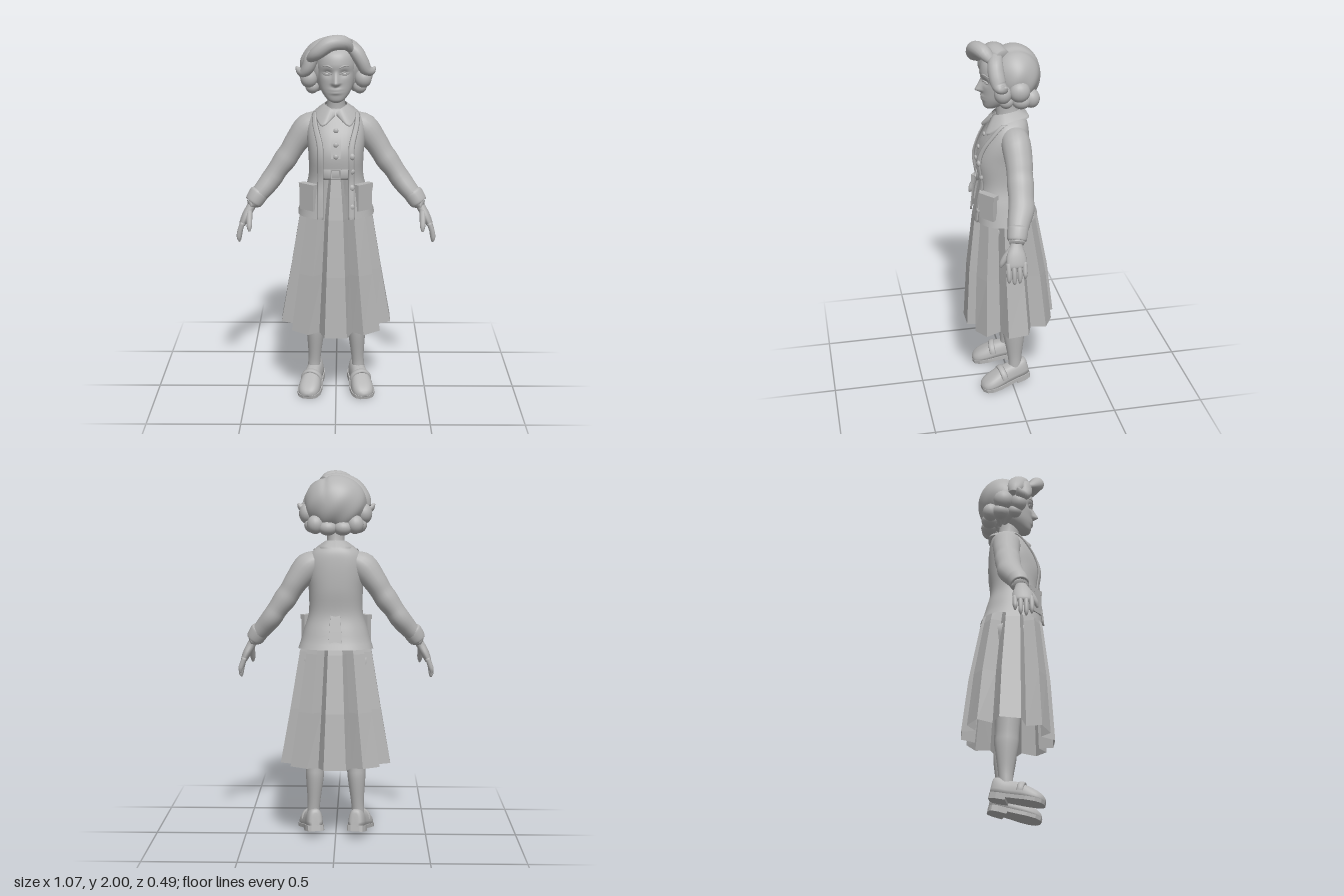
import * as THREE from 'three';

const clay = new THREE.MeshStandardMaterial({ color: 0xb4b4b4, side: THREE.DoubleSide });
clay.name = 'clay grey';
const V = (x, y, z) => new THREE.Vector3(x, y, z);
const bell = (d, w) => Math.exp(-(d * d) / (w * w));

// smooth interpolation through the rows of a small table
function sample(rows, t) {
  const f = t * (rows.length - 1), i = Math.min(Math.floor(f), rows.length - 2), k = f - i;
  const at = j => rows[Math.max(0, Math.min(rows.length - 1, j))];
  return rows[0].map((_, c) => {
    const [a, b, d, e] = [at(i - 1)[c], at(i)[c], at(i + 1)[c], at(i + 2)[c]];
    return b + 0.5 * k * (d - a + k * (2 * a - 5 * b + 4 * d - e + k * (3 * (b - d) + e - a)));
  });
}
const spread = (rows, n) => Array.from({ length: n + 1 }, (_, i) => sample(rows, i / n));

// skin over a list of rings
function loft(rings, closed = true, caps = false) {
  const n = rings[0].length, pos = [], idx = [];
  rings.forEach(r => r.forEach(p => pos.push(p.x, p.y, p.z)));
  for (let i = 0; i < rings.length - 1; i++)
    for (let j = 0; j < (closed ? n : n - 1); j++) {
      const a = i * n + j, b = i * n + (j + 1) % n;
      idx.push(a, b, b + n, a, b + n, a + n);
    }
  if (caps) [0, rings.length - 1].forEach(i => {
    const c = rings[i].reduce((s, p) => s.add(p), V(0, 0, 0)).divideScalar(n), m = pos.length / 3;
    pos.push(c.x, c.y, c.z);
    for (let j = 0; j < n; j++) {
      const a = i * n + j, b = i * n + (j + 1) % n;
      i ? idx.push(a, b, m) : idx.push(b, a, m);
    }
  });
  const g = new THREE.BufferGeometry();
  g.setAttribute('position', new THREE.Float32BufferAttribute(pos, 3));
  g.setIndex(idx);
  g.computeVertexNormals();
  return g;
}

// rounded horizontal section of the body: [y, half width, front z, back z]
function section([y, rx, zf, zb], a0, a1, n, e = 0.8, grow = 0) {
  const pw = v => Math.sign(v) * Math.abs(v) ** e;
  return Array.from({ length: n }, (_, j) => {
    const a = a0 + (a1 - a0) * j / (a1 - a0 > 6.28 ? n : n - 1);
    return V((rx + grow) * pw(Math.sin(a)), y, (zf + zb) / 2 + ((zf - zb) / 2 + grow) * pw(Math.cos(a)));
  });
}

// tapered tube through rows of [x, y, z, radius across, radius in depth]
function limb(rows, n = 20, sides = 16) {
  const pts = spread(rows, n);
  return loft(pts.map((p, i) => {
    const q = pts[Math.max(0, i - 1)], r = pts[Math.min(n, i + 1)];
    const t = V(r[0] - q[0], r[1] - q[1], r[2] - q[2]).normalize();
    const u = V(0, 0, 1).cross(t).normalize(), w = u.clone().cross(t);
    return Array.from({ length: sides }, (_, j) => {
      const a = j / sides * Math.PI * 2;
      return V(p[0], p[1], p[2]).addScaledVector(u, Math.cos(a) * p[3]).addScaledVector(w, -Math.sin(a) * p[4]);
    });
  }), true, true);
}
function blob(rx, ry, rz) { return new THREE.SphereGeometry(1, 20, 14).scale(rx, ry, rz); }
function bend(g, rule) {
  const p = g.attributes.position, v = V(0, 0, 0);
  for (let i = 0; i < p.count; i++) { rule(v.fromBufferAttribute(p, i)); p.setXYZ(i, v.x, v.y, v.z); }
  g.computeVertexNormals();
  return g;
}

export function createModel() {
  const model = new THREE.Group();
  const add = (name, geo, x = 0, y = 0, z = 0, parent = model) => {
    const m = new THREE.Mesh(geo, clay);
    m.name = name; m.position.set(x, y, z); parent.add(m);
    return m;
  };
  const TAU = Math.PI * 2 + 1e-6;

  // box-pleated skirt, faceted
  const quarter = [[0.06, 0.245], [0.09, 0.17], [0.15, 0.215], [0.24, 0.165], [0.21, 0.085], [0.3, 0.055]];
  const half = [...quarter, ...quarter.slice().reverse().map(([x, z]) => [x, -z])];
  const hem = [...half, ...half.slice().reverse().map(([x, z]) => [-x, z])];
  const skirt = [[0.4, 1, 1, 0], [0.72, 0.82, 0.89, 0.008], [1.03, 0.65, 0.7, 0.02], [1.15, 0.53, 0.59, 0.025], [1.27, 0.38, 0.48, 0.03]];
  const skirtGeo = loft(skirt.map(([y, sx, sz, dz], i) =>
    hem.map(([x, z]) => V(x * sx, y + (i ? 0 : 0.05 * Math.abs(x) - 0.08 * z), z * sz + dz)))).toNonIndexed();
  skirtGeo.computeVertexNormals();
  add('skirt', skirtGeo);

  // dress bodice under the open cardigan
  const body = [[1.035, 0.205, 0.192, -0.15], [1.14, 0.176, 0.182, -0.122], [1.24, 0.147, 0.168, -0.097], [1.36, 0.147, 0.182, -0.107],
    [1.45, 0.155, 0.157, -0.108], [1.52, 0.152, 0.12, -0.104], [1.57, 0.128, 0.092, -0.096], [1.605, 0.085, 0.075, -0.08]];
  add('bodice', loft(spread(body.slice(2), 20).map(r => section(r, 0, TAU, 40, 0.8, -0.014)), true, true));
  add('belt', loft([1.25, 1.253, 1.297, 1.3].map((y, i) =>
    section([y, 0.135, 0.17, -0.09], 0, TAU, 40, 0.8, i % 3 ? 0 : -0.012))));
  const buckle = new THREE.TorusGeometry(0.034, 0.006, 6, 4).rotateZ(Math.PI / 4);
  add('beltBuckle', buckle, 0, 1.275, 0.172);
  add('buttonPlacket', loft(spread(body.slice(3), 16).slice(0, 13).map(r => section(r, -0.12, 0.12, 6, 0.8, -0.009)), false));
  [[1.5, 0.128], [1.43, 0.159], [1.37, 0.174]].forEach(([y, z]) => add('dressButton', blob(0.013, 0.013, 0.008), 0, y, z));

  // cardigan, open along the front
  const openAt = (y, rx) => Math.asin(Math.min(0.95, (0.065 + 0.035 * THREE.MathUtils.smoothstep(y, 1.4, 1.57)) / rx) ** 1.25);
  const levels = spread(body, 32);
  const jacket = loft(levels.map(r => {
    const a = openAt(r[0], r[1]);
    return section(r, a, Math.PI * 2 - a, 49);
  }), false);
  add('cardigan', bend(jacket, v => { if (v.y < 1.1) v.y += (1.1 - v.y) / 0.065 * 0.02 * THREE.MathUtils.smoothstep(-v.z, -0.1, 0.1); }));
  [1, -1].forEach(s => {
    const side = new THREE.Group();
    side.name = s > 0 ? 'leftSide' : 'rightSide';
    model.add(side);
    const put = (name, geo, x, y, z) => add(name, geo.scale(s, 1, 1), (x || 0) * s, y, z, side);

    // cardigan front band and patch pocket
    put('frontBand', loft(levels.slice(0, 30).map(r => {
      const a = openAt(r[0], r[1]), b = a + 0.033 / r[1];
      return [...section(r, a, b, 5, 0.8, 0.009), section(r, b, b, 2)[0], section(r, a, a, 2)[0]];
    }), true, true));
    put('pocket', new THREE.BoxGeometry(0.095, 0.13, 0.03).rotateY(0.7), 0.147, 1.14, 0.137);
    put('pocketHem', new THREE.BoxGeometry(0.103, 0.025, 0.037).rotateY(0.7), 0.146, 1.205, 0.134);

    // sleeve, cuff and hand
    put('sleeve', limb([[0.08, 1.535, -0.01, 0.045, 0.06], [0.145, 1.495, -0.012, 0.075, 0.076], [0.21, 1.415, -0.015, 0.065, 0.072],
      [0.245, 1.36, -0.012, 0.06, 0.068], [0.275, 1.315, -0.01, 0.062, 0.07], [0.315, 1.26, -0.005, 0.055, 0.066],
      [0.345, 1.215, 0, 0.056, 0.068], [0.385, 1.165, 0.02, 0.052, 0.06], [0.425, 1.12, 0.037, 0.045, 0.05]], 32, 20));
    put('cuff', limb([[0.412, 1.142, 0.032, 0.04, 0.045], [0.415, 1.138, 0.033, 0.052, 0.054], [0.445, 1.092, 0.044, 0.047, 0.05], [0.448, 1.088, 0.045, 0.03, 0.035]], 18, 20));
    put('palm', limb([[0.435, 1.11, 0.042, 0.026, 0.03], [0.46, 1.065, 0.05, 0.024, 0.034], [0.485, 1.02, 0.055, 0.023, 0.05],
      [0.505, 0.975, 0.057, 0.018, 0.05], [0.508, 0.962, 0.057, 0.008, 0.035]]));
    [[0.016, 0.905], [0.044, 0.882], [0.072, 0.876], [0.1, 0.888]].forEach(([z, y]) =>
      put('finger', limb([[0.5, 0.99, z, 0.013, 0.013], [0.517, 0.945, z, 0.014, 0.013], [0.523, y + 0.02, z, 0.012, 0.011], [0.522, y, z, 0.004, 0.004]], 10, 10)));
    put('thumb', limb([[0.465, 1.05, 0.075, 0.016, 0.018], [0.465, 1.01, 0.105, 0.016, 0.018], [0.464, 0.975, 0.125, 0.014, 0.014], [0.464, 0.95, 0.132, 0.005, 0.005]], 12, 10));

    // leg and shoe
    put('leg', limb([[0.105, 1.0, 0.01, 0.075, 0.085], [0.105, 0.7, 0.01, 0.068, 0.078], [0.112, 0.42, -0.005, 0.052, 0.062], [0.115, 0.33, -0.01, 0.049, 0.061],
      [0.12, 0.2, -0.014, 0.036, 0.042], [0.124, 0.13, -0.014, 0.034, 0.036], [0.125, 0.06, -0.01, 0.036, 0.04]], 28, 20));
    const shoe = new THREE.Group();
    shoe.name = 'shoe';
    shoe.position.set(0.125 * s, 0.036, 0);
    shoe.rotation.set(0.2, 0.19 * s, 0, 'YXZ');
    side.add(shoe);
    const upper = [[-0.1, 0.018, 0.085], [-0.092, 0.036, 0.105], [-0.06, 0.046, 0.108], [-0.01, 0.047, 0.1], [0.04, 0.053, 0.098],
      [0.09, 0.061, 0.084], [0.14, 0.059, 0.066], [0.172, 0.043, 0.048], [0.186, 0.016, 0.03]];
    add('shoeUpper', loft(spread(upper, 24).map(([z, w, h]) => Array.from({ length: 16 }, (_, j) => {
      const a = j / 15 * Math.PI;
      return V(w * Math.sign(Math.cos(a)) * Math.abs(Math.cos(a)) ** 0.7, 0.012 + (h - 0.012) * Math.sin(a) ** 0.75, z);
    })), true, true), 0, 0, 0, shoe);
    const outline = [...upper.map(([z, w]) => new THREE.Vector2(w + 0.006, -z)), ...upper.slice().reverse().map(([z, w]) => new THREE.Vector2(-w - 0.006, -z))];
    const plate = (pts, depth) => new THREE.ExtrudeGeometry(new THREE.Shape(pts), { depth, bevelEnabled: false }).rotateX(-Math.PI / 2);
    add('sole', plate(outline, 0.02), 0, 0, 0, shoe);
    add('heel', plate([...outline.slice(0, 4), ...outline.slice(-4)], 0.014), 0, -0.013, 0, shoe);
    add('shoeStrap', new THREE.TorusGeometry(0.053, 0.008, 8, 20, Math.PI).scale(1, 1, 2.2), 0, 0.046, 0.055, shoe);

    // eye, lid and brow
    put('eye', blob(0.022, 0.008, 0.008), 0.044, 1.797, 0.122);
    put('eyelid', limb([[0.02, 1.796, 0.133, 0.003, 0.003], [0.042, 1.808, 0.135, 0.004, 0.004], [0.068, 1.8, 0.117, 0.003, 0.003]], 10, 8));
    put('eyebrow', limb([[0.018, 1.83, 0.144, 0.003, 0.003], [0.045, 1.842, 0.137, 0.005, 0.004], [0.075, 1.834, 0.115, 0.002, 0.002]], 10, 8));
  });
  [1.37, 1.29, 1.2, 1.1].forEach((y, i) => add('cardiganButton', blob(0.016, 0.018, 0.012), 0.084, y, [0.172, 0.16, 0.163, 0.178][i]));

  // collar folded around the neck
  const turn = rows => {
    const h = spread(rows, 16);
    return [...h.map(p => V(...p)), ...h.reverse().map(([x, y, z]) => V(-x, y, z))];
  };
  const fold = turn([[0.004, 1.592, 0.084], [0.032, 1.612, 0.076], [0.058, 1.625, 0.03], [0.042, 1.632, -0.04], [0, 1.635, -0.06]]);
  const edge = turn([[0.004, 1.583, 0.095], [0.072, 1.532, 0.13], [0.108, 1.588, 0.035], [0.065, 1.605, -0.085], [0, 1.605, -0.102]]);
  add('collar', loft([fold, edge, edge.map(p => p.clone().add(V(0, -0.012, -0.006)))], false));

  // neck and head
  add('neck', limb([[0, 1.56, -0.005, 0.062, 0.07], [0, 1.63, 0.005, 0.047, 0.058], [0, 1.72, 0.015, 0.047, 0.058]]));
  const skull = [[1.645, 0.018, 0.115, 0.075], [1.66, 0.046, 0.13, 0.04], [1.7, 0.077, 0.137, -0.03], [1.75, 0.095, 0.139, -0.08],
    [1.8, 0.103, 0.141, -0.1], [1.85, 0.105, 0.146, -0.11], [1.9, 0.095, 0.128, -0.1], [1.94, 0.06, 0.07, -0.07]];
  add('head', bend(loft(spread(skull, 56).map(r => section(r, 0, TAU, 96, 0.92)), true, true), v => {
    if (v.z < 0.05) return;
    const ax = Math.abs(v.x);
    const ridge = v.y > 1.75 ? Math.max(0, 1 - (v.y - 1.75) / 0.065) : bell(v.y - 1.75, 0.013);
    v.z += 0.037 * bell(v.x, 0.009 + 0.009 * ridge) * ridge;
    v.z -= 0.013 * bell(ax - 0.043, 0.025) * bell(v.y - 1.8, 0.018);
    v.z += 0.008 * bell(v.x, 0.03) * (bell(v.y - 1.717, 0.008) + bell(v.y - 1.7, 0.008));
  }));

  // hair: waved cap with a parting, sweeping locks and rolled curls
  const hair = new THREE.Group();
  hair.name = 'hair';
  model.add(hair);
  add('hairCap', bend(new THREE.SphereGeometry(1, 64, 40), v => {
    const a = Math.atan2(v.z, v.x);
    const k = 1 + 0.025 * Math.sin(a * 7 + v.y * 5) * Math.max(0, 0.6 - v.y) - 0.05 * bell(v.x - 0.35, 0.1) * Math.max(0, v.y);
    v.set(v.x * k * 0.166, v.y * k * 0.15, v.z * k * 0.136);
  }), 0, 1.828, -0.03, hair);
  const locks = {
    quiff: [[0.075, 1.925, 0.1, 0.02, 0.025], [0.04, 1.96, 0.135, 0.036, 0.04], [-0.03, 1.958, 0.163, 0.04, 0.042], [-0.09, 1.915, 0.16, 0.036, 0.04], [-0.125, 1.885, 0.13, 0.025, 0.03], [-0.14, 1.87, 0.1, 0.01, 0.01]],
    crownWave: [[0.07, 1.945, 0.04, 0.025, 0.04], [0, 1.95, 0.07, 0.04, 0.055], [-0.09, 1.92, 0.06, 0.045, 0.06], [-0.15, 1.86, 0.04, 0.035, 0.05], [-0.17, 1.81, 0.03, 0.02, 0.03]],
    leftSweep: [[0.05, 1.945, 0.07, 0.02, 0.03], [0.1, 1.91, 0.085, 0.036, 0.04], [0.132, 1.86, 0.085, 0.036, 0.042], [0.155, 1.815, 0.075, 0.032, 0.038], [0.185, 1.805, 0.06, 0.022, 0.028], [0.205, 1.825, 0.05, 0.005, 0.006]],
    rightSweep: [[-0.09, 1.92, 0.08, 0.02, 0.03], [-0.125, 1.88, 0.09, 0.036, 0.04], [-0.143, 1.83, 0.09, 0.034, 0.042], [-0.165, 1.8, 0.075, 0.028, 0.036], [-0.19, 1.805, 0.06, 0.02, 0.025], [-0.208, 1.825, 0.05, 0.005, 0.006]],
  };
  Object.entries(locks).forEach(([name, rows]) => add(name, limb(rows, 24, 16), 0, 0, 0, hair));
  [1, -1].forEach(s => [[0.142, 1.765, 0.055, 0.045, 0.05, 0.045], [0.125, 1.718, 0.035, 0.036, 0.036, 0.038], [0.15, 1.775, -0.03, 0.045, 0.055, 0.055],
    [0.122, 1.715, -0.045, 0.045, 0.042, 0.05], [0.105, 1.72, -0.1, 0.045, 0.05, 0.045], [0.04, 1.702, -0.105, 0.05, 0.04, 0.045]]
    .forEach(([x, y, z, ...r]) => add('curl', blob(...r), x * s, y, z, hair)));
  return model;
}
